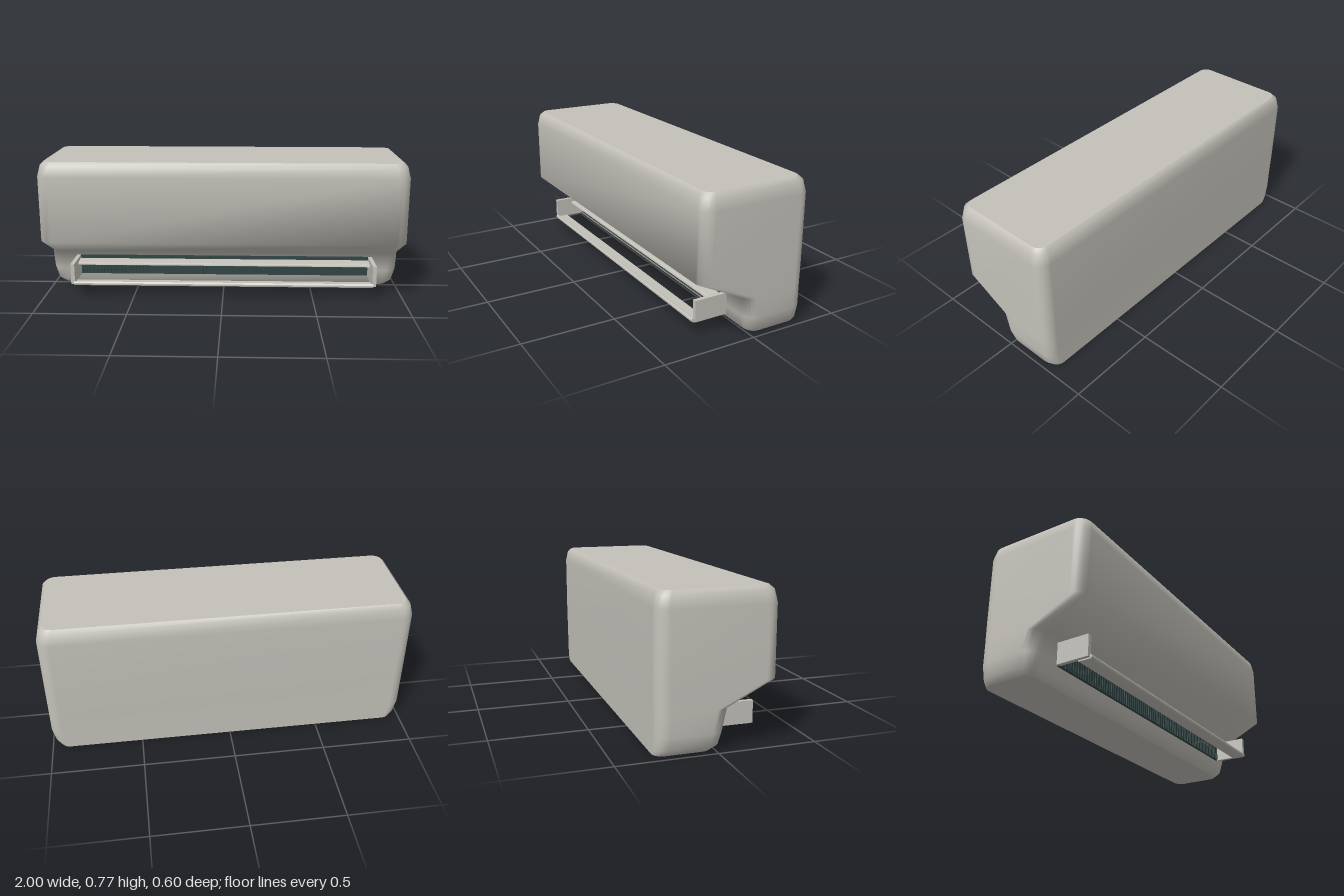
import * as THREE from 'three';

const casing = new THREE.MeshStandardMaterial({ name: 'warm grey casing', color: 0xc3c1b9 });
const dark = new THREE.MeshStandardMaterial({ name: 'dark teal grille', color: 0x304544 });

// Body levels from bottom to top: y, half width, back z, front z, corner radius
const LEVELS = [
  [0, 0.955, -0.3, -0.012, 0.05],
  [0.03, 0.982, -0.3, 0.022, 0.06],
  [0.1, 1, -0.3, 0.036, 0.065],
  [0.21, 1, -0.3, 0.06, 0.065],
  [0.33, 1, -0.302, 0.302, 0.065],
  [0.69, 1, -0.302, 0.302, 0.065],
  [0.75, 0.985, -0.29, 0.29, 0.06],
  [0.77, 0.965, -0.268, 0.268, 0.05],
];
const STEPS = 5;

// Rounded rectangle at one level, running front-right to back-right and around
function ring([y, hx, zb, zf, r]) {
  const corners = [[hx - r, zf - r], [hx - r, zb + r], [-hx + r, zb + r], [-hx + r, zf - r]];
  const pts = [];
  corners.forEach(([cx, cz], i) => {
    for (let k = 0; k <= STEPS; k++) {
      const a = Math.PI / 2 * (1 - i - k / STEPS);
      pts.push(new THREE.Vector3(cx + r * Math.cos(a), y, cz + r * Math.sin(a)));
    }
  });
  return pts;
}

function loft(levels) {
  const rings = levels.map(ring), n = rings[0].length, index = [];
  for (let j = 0; j < rings.length - 1; j++) {
    for (let i = 0; i < n; i++) {
      const a = j * n + i, b = j * n + (i + 1) % n;
      index.push(a, b, b + n, a, b + n, a + n);
    }
  }
  const g = new THREE.BufferGeometry().setFromPoints(rings.flat());
  g.setIndex(index);
  g.computeVertexNormals();
  return g;
}

function cap(level, up) {
  const pts = ring(level), index = [];
  for (let i = 1; i < pts.length - 1; i++) index.push(0, ...(up ? [i, i + 1] : [i + 1, i]));
  const g = new THREE.BufferGeometry().setFromPoints(pts);
  g.setIndex(index);
  g.computeVertexNormals();
  return g;
}

export function createModel() {
  const model = new THREE.Group();
  model.name = 'wallUnit';
  const add = (name, geometry, material, parent = model) => {
    const mesh = new THREE.Mesh(geometry, material);
    mesh.name = name;
    parent.add(mesh);
    return mesh;
  };
  // Box given by its limits on each axis
  const box = (name, x0, x1, y0, y1, z0, z1, material, parent) => {
    const mesh = add(name, new THREE.BoxGeometry(x1 - x0, y1 - y0, z1 - z0), material, parent);
    mesh.position.set((x0 + x1) / 2, (y0 + y1) / 2, (z0 + z1) / 2);
    return mesh;
  };
  // Long slat extruded along x from a (z, y) profile
  const slat = (name, profile, half) => {
    const shape = new THREE.Shape(profile.map(([z, y]) => new THREE.Vector2(-z, y)));
    const g = new THREE.ExtrudeGeometry(shape, { depth: half * 2, bevelEnabled: false });
    g.rotateY(Math.PI / 2).translate(-half, 0, 0);
    return add(name, g, casing);
  };

  // Casing
  add('casingShell', loft(LEVELS), casing);
  add('casingTop', cap(LEVELS[LEVELS.length - 1], true), casing);
  add('casingBottom', cap(LEVELS[0], false), casing);

  // Air outlet with fine upright fins
  const outlet = new THREE.Group();
  outlet.name = 'outletGrille';
  model.add(outlet);
  box('outletPanel', -0.83, 0.83, 0.076, 0.189, 0.048, 0.06, dark, outlet);
  for (let i = 0; i <= 80; i++) {
    const x = -0.82 + i * 0.0205;
    box('outletFin', x - 0.004, x + 0.004, 0.078, 0.187, 0.055, 0.064, dark, outlet);
  }

  // Side cheeks holding the slats
  for (const s of [-1, 1]) {
    const x = s * 0.838;
    box('slatCheek', x - 0.011, x + 0.011, 0.074, 0.189, 0.06, 0.24, casing);
  }

  // Upper slat and lower flap with a raised front lip
  slat('upperSlat', [[0.07, 0.164], [0.132, 0.15], [0.14, 0.154], [0.138, 0.162], [0.13, 0.166], [0.07, 0.172]], 0.828);
  slat('lowerFlap', [[0.17, 0.071], [0.175, 0.067], [0.242, 0.067], [0.25, 0.073], [0.25, 0.082],
    [0.243, 0.09], [0.236, 0.088], [0.228, 0.079], [0.175, 0.078]], 0.832);

  return model;
}
